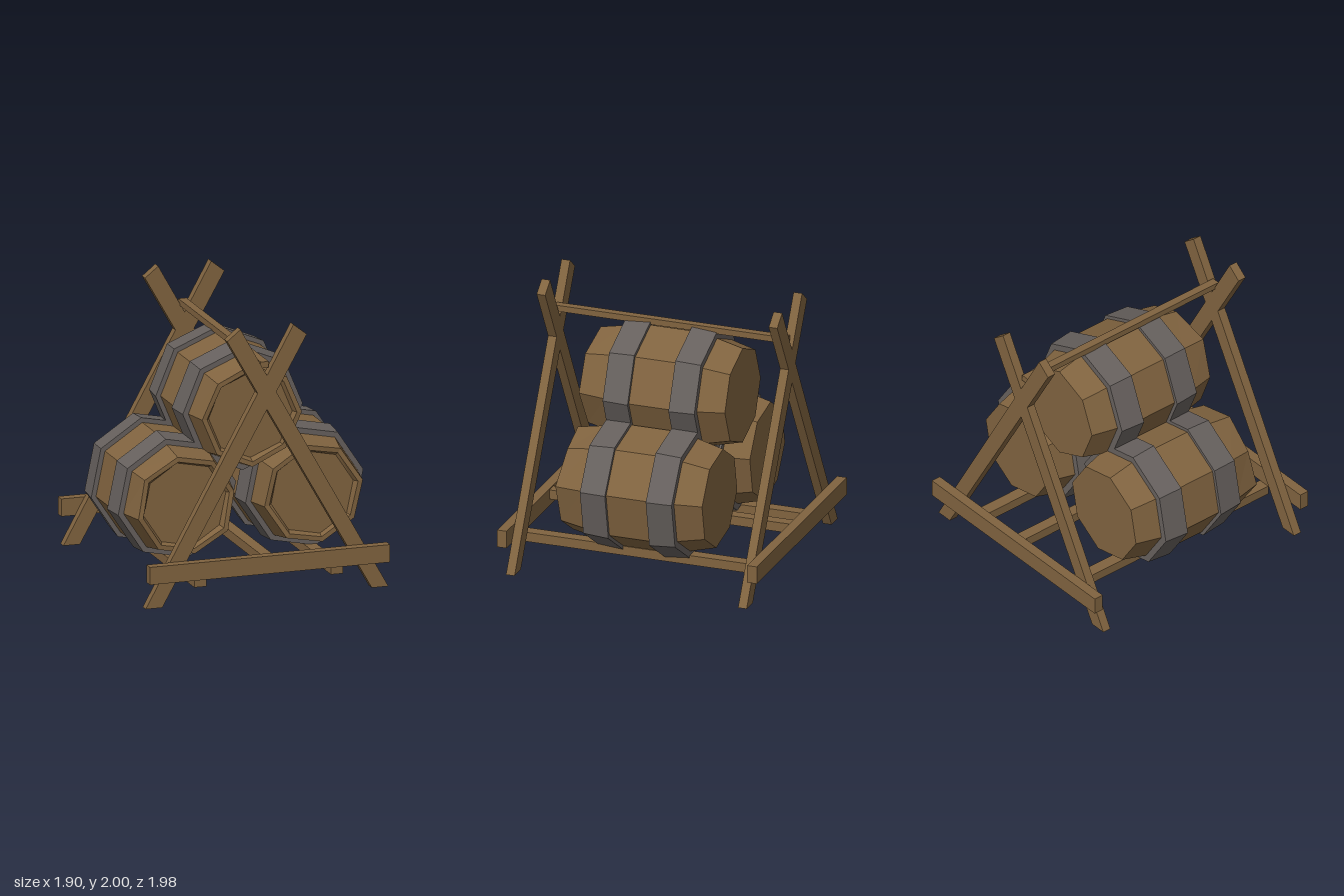
import * as THREE from 'three';

const wood = new THREE.MeshStandardMaterial({ color: 0x80633f, flatShading: true });
wood.name = 'wood';
const iron = new THREE.MeshStandardMaterial({ color: 0x66605d, flatShading: true });
iron.name = 'iron';

function add(parent, name, geometry, material, x = 0, y = 0, z = 0) {
  const mesh = new THREE.Mesh(geometry, material);
  mesh.name = name;
  mesh.position.set(x, y, z);
  parent.add(mesh);
  return mesh;
}

// Eight-sided turned shape along z, from [radius, z] pairs
function turned(profile) {
  const points = profile.map(([r, z]) => new THREE.Vector2(r, z));
  return new THREE.LatheGeometry(points, 8).rotateX(Math.PI / 2);
}

function makeBarrel(name, x, y, tilt, seed) {
  const barrel = new THREE.Group();
  barrel.name = name;

  // Staves, flat back, and a recessed lid in front
  const body = turned([
    [0, -0.545], [0.36, -0.545], [0.41, -0.35], [0.44, -0.16], [0.44, 0.16],
    [0.41, 0.35], [0.372, 0.55], [0.335, 0.55], [0.315, 0.515], [0, 0.515],
  ]);
  // Uneven stave tips around the front rim
  const p = body.attributes.position;
  for (let i = 0; i < p.count; i++) {
    if (p.getZ(i) > 0.54) {
      const a = Math.atan2(p.getY(i), p.getX(i));
      p.setZ(i, p.getZ(i) + 0.018 * Math.sin(3 * a + seed));
    }
  }
  add(barrel, 'barrelBody', body, wood);

  // Iron hoops, narrowing toward the ends
  add(barrel, 'frontHoop', turned([
    [0.4, 0.155], [0.467, 0.155], [0.452, 0.35], [0.4, 0.35],
  ]), iron);
  add(barrel, 'backHoop', turned([
    [0.4, -0.35], [0.46, -0.35], [0.477, -0.16], [0.4, -0.16],
  ]), iron);

  barrel.position.set(x, y, 0);
  barrel.rotation.z = tilt;
  return barrel;
}

export function createModel() {
  const model = new THREE.Group();
  model.name = 'barrelRack';

  model.add(makeBarrel('topBarrel', 0.015, 1.245, 0, 0.6));
  model.add(makeBarrel('leftBarrel', 0.48, 0.63, 0.19, 2.1));
  model.add(makeBarrel('rightBarrel', -0.48, 0.63, 0.19, 4.0));

  // Crossed legs and a cross beam at each end
  const corners = [[-0.915, 0], [-0.79, 0], [0.3, 1.92], [0.2, 2]];
  for (const end of [1, -1]) {
    const frame = new THREE.Group();
    frame.name = end > 0 ? 'frontFrame' : 'backFrame';
    for (const side of [1, -1]) {
      const shape = new THREE.Shape(corners.map(([x, y]) => new THREE.Vector2(x * side, y)));
      const leg = new THREE.ExtrudeGeometry(shape, { depth: 0.065, bevelEnabled: false });
      add(frame, side > 0 ? 'rightLeg' : 'leftLeg', leg, wood, 0, 0, end * 0.8825 - 0.0325);
    }
    add(frame, 'crossBeam', new THREE.BoxGeometry(1.81, 0.13, 0.073), wood, -0.003, 0.263, end * 0.9515);
    model.add(frame);
  }

  // Lengthwise poles
  add(model, 'ridgePole', new THREE.BoxGeometry(0.06, 0.045, 1.77), wood, -0.007, 1.714, 0);
  add(model, 'middleRail', new THREE.BoxGeometry(0.085, 0.07, 1.83), wood, 0, 0.285, 0);
  add(model, 'leftRail', new THREE.BoxGeometry(0.09, 0.07, 1.84), wood, 0.525, 0.163, 0);
  add(model, 'rightRail', new THREE.BoxGeometry(0.09, 0.07, 1.84), wood, -0.505, 0.163, 0);

  return model;
}
